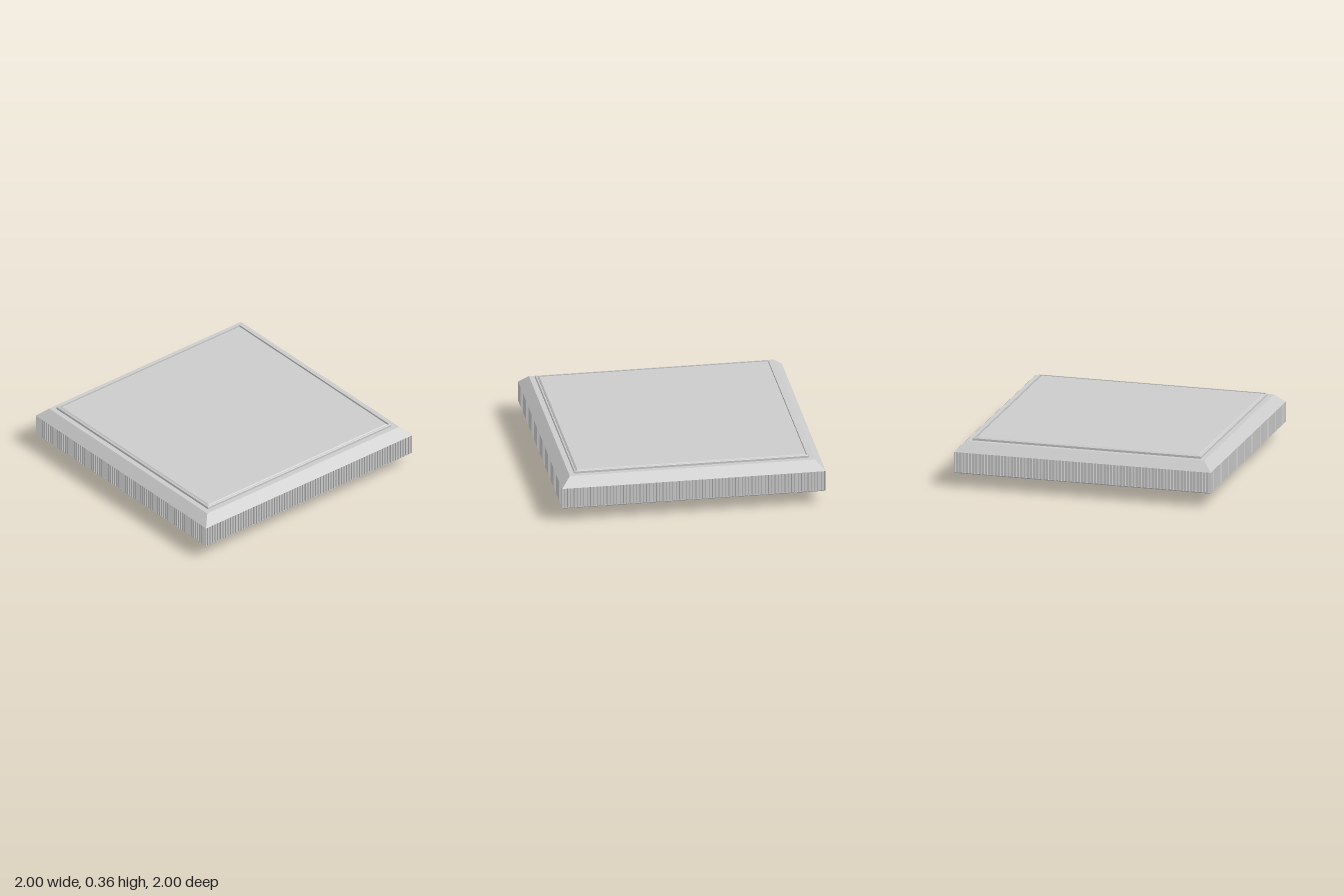
import * as THREE from 'three';
import { toCreasedNormals } from 'three/addons/utils/BufferGeometryUtils.js';

const smooth = new THREE.MeshStandardMaterial({ color: 0xcccccc });
const flat = new THREE.MeshStandardMaterial({ color: 0xcccccc, flatShading: true });

const RIBS = 80;          // grooves per side
const GROOVE = 0.012;     // groove depth

function addMesh(group, name, geometry, material) {
  const mesh = new THREE.Mesh(geometry, material);
  mesh.name = name;
  group.add(mesh);
}

// Stack of concentric squares; profile is [half width, y] from bottom to top
function squareLoft(profile) {
  const points = profile.map(([w, y]) => new THREE.Vector2(w * Math.SQRT2, y));
  return new THREE.LatheGeometry(points, 4, Math.PI / 4).toNonIndexed();
}

// Extrudes a plan shape upwards from y0 to y1
function extrudeUp(shape, y0, y1, curveSegments = 12) {
  const geometry = new THREE.ExtrudeGeometry(shape, { depth: y1 - y0, bevelEnabled: false, curveSegments });
  return geometry.rotateX(-Math.PI / 2).translate(0, y0, 0);
}

// Square outline with fine vertical grooves on every side
function ribbedOutline() {
  const points = [];
  const pitch = 2 / RIBS;
  for (let side = 0; side < 4; side++) {
    const add = (along, inset) => points.push(
      new THREE.Vector2(along, -1 + inset).rotateAround(new THREE.Vector2(), side * Math.PI / 2));
    add(-1, 0);
    for (let i = 0; i < RIBS; i++) {
      const start = -1 + i * pitch;
      add(start + pitch * 0.3, 0);
      add(start + pitch * 0.42, GROOVE);
      add(start + pitch * 0.58, GROOVE);
      add(start + pitch * 0.7, 0);
    }
  }
  return new THREE.Shape(points);
}

// Round boss outline with a centre bore and a small locating hole
function hubOutline() {
  const shape = new THREE.Shape();
  shape.absarc(0, 0, 0.19, 0, Math.PI * 2);
  for (const [x, y, r] of [[0, 0, 0.058], [0.08, 0.08, 0.012]]) {
    const hole = new THREE.Path();
    hole.absarc(x, y, r, 0, Math.PI * 2, true);
    shape.holes.push(hole);
  }
  return shape;
}

export function createModel() {
  const model = new THREE.Group();
  model.name = 'squarePlatform';

  // Underside with a small bevelled edge
  addMesh(model, 'baseUnderside', squareLoft([[0, 0.105], [0.99, 0.105], [0.998, 0.113], [0.98, 0.113]]), flat);

  // Grooved side band
  addMesh(model, 'ribbedBand', extrudeUp(ribbedOutline(), 0.113, 0.27), flat);

  // Sloped shoulder and flat ledge
  addMesh(model, 'bevelledShoulder', squareLoft([[0.98, 0.27], [1, 0.27], [0.93, 0.34], [0.885, 0.34]]), flat);

  // Thin raised frame, with a narrow gap inside it
  addMesh(model, 'topFrame', squareLoft([
    [0.89, 0.34], [0.89, 0.356], [0.886, 0.36], [0.877, 0.36], [0.877, 0.343], [0.871, 0.343],
  ]), flat);

  // Inset top panel with a bevelled edge
  addMesh(model, 'topPanel', squareLoft([[0.872, 0.343], [0.872, 0.351], [0.862, 0.36], [0, 0.36]]), flat);

  // Mounting hub below
  const rim = [[0.188, 0], [0.19, 0], [0.2, 0.012], [0.2, 0.106]].map(([r, y]) => new THREE.Vector2(r, y));
  addMesh(model, 'hubWall', toCreasedNormals(new THREE.LatheGeometry(rim, 64), 0.5), smooth);
  addMesh(model, 'hubFace', toCreasedNormals(extrudeUp(hubOutline(), 0, 0.105, 32), 0.5), smooth);

  return model;
}
